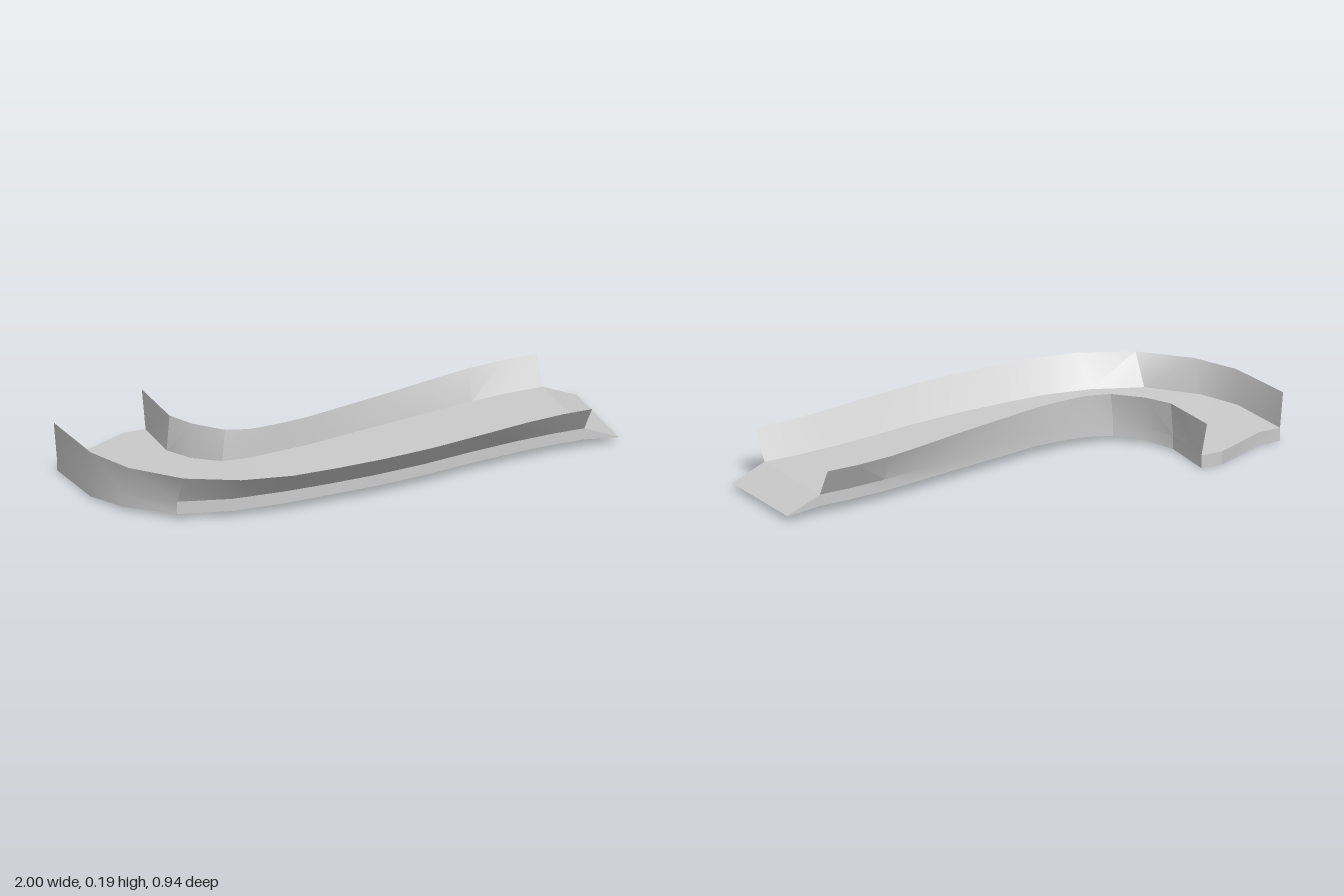
import * as THREE from 'three';
import { toCreasedNormals } from 'three/addons/utils/BufferGeometryUtils.js';

// Plan stations along the bend, each as x,z pairs:
// outer rim, outer floor edge, inner floor edge, inner rim
const STATIONS = [
  [-1, -.305, -.99, -.30, -.595, -.42, -.59, -.47],
  [-.975, 0, -.97, -.02, -.60, -.20, -.585, -.21],
  [-.90, .18, -.90, .13, -.55, -.09, -.535, -.11],
  [-.75, .345, -.75, .28, -.46, -.005, -.445, -.015],
  [-.56, .437, -.56, .342, -.36, .015, -.36, .012],
  [-.37, .468, -.37, .36, -.24, .008, -.24, .005],
  [-.19, .462, -.19, .355, -.13, -.005, -.13, -.012],
  [0, .447, 0, .342, .05, -.045, .05, -.06],
  [.20, .418, .20, .315, .22, -.08, .22, -.106],
  [.40, .375, .40, .275, .40, -.12, .40, -.16],
  [.60, .33, .60, .243, .58, -.158, .58, -.21],
  [.75, .307, .75, .228, .73, -.177, .73, -.235],
  [.865, .302, .865, .225, .865, -.185, .865, -.242],
];
const RIM_Y = 0.187;
const FLOOR_Y = [.05, .056, .062, .069, .075, .08];
const BASE_Y = [0, .005, .012, .02, .027, .033, .036];
const levelAt = (levels, i) => levels[Math.min(i, levels.length - 1)];

// Surface through a grid of points, rows by columns
function skin(name, rows, material) {
  const cols = rows[0].length;
  const index = [];
  for (let r = 0; r < rows.length - 1; r++) {
    for (let c = 0; c < cols - 1; c++) {
      const a = r * cols + c, b = a + 1, d = a + cols, e = d + 1;
      index.push(a, d, b, b, d, e);
    }
  }
  const geometry = new THREE.BufferGeometry();
  geometry.setAttribute('position', new THREE.Float32BufferAttribute(rows.flat(2), 3));
  geometry.setIndex(index);
  const mesh = new THREE.Mesh(toCreasedNormals(geometry, Math.PI / 7), material);
  mesh.name = name;
  return mesh;
}

export function createModel() {
  const material = new THREE.MeshStandardMaterial({ color: 0xcccccc, side: THREE.DoubleSide });
  const group = new THREE.Group();
  group.name = 'curvedChannel';

  // Point of a station by pair number, at a given height
  const at = (s, pair, y) => [s[pair * 2], y, s[pair * 2 + 1]];

  // Points across the floor; the open end has a stepped edge
  const across = (s, i, y) => {
    const o = at(s, 1, y), n = at(s, 2, y);
    const mix = (t) => [o[0] + (n[0] - o[0]) * t, y, o[2] + (n[2] - o[2]) * t];
    const middle = i === 0 ? [[-.9, y, -.305], [-.68, y, -.42]] : [mix(.25), mix(.8)];
    return [o, ...middle, n];
  };
  const floorRows = STATIONS.map((s, i) => across(s, i, levelAt(FLOOR_Y, i)));
  const baseRows = STATIONS.map((s, i) => across(s, i, levelAt(BASE_Y, i)));

  group.add(skin('floor', floorRows, material));
  group.add(skin('underside', baseRows.map((row) => [...row].reverse()), material));
  group.add(skin('openEnd', [baseRows[0], floorRows[0]], material));

  // Flared walls with a short upright skirt below the floor line
  const wallRows = (rim, edge) => STATIONS.map((s, i) => [
    at(s, rim, RIM_Y), at(s, edge, levelAt(FLOOR_Y, i)), at(s, edge, levelAt(BASE_Y, i)),
  ]);
  group.add(skin('outerWall', wallRows(0, 1).map((row) => row.reverse()), material));
  group.add(skin('innerWall', wallRows(3, 2), material));

  // Wedge tongue sloping down from the far end
  const loop = (x, top, bottom, front, back) => [
    [x, top, front], [x, top, back], [x, bottom, back], [x, bottom, front], [x, top, front],
  ];
  group.add(skin('endTongue', [
    loop(.865, .08, .036, .225, -.185),
    loop(1, .024, .02, .22, -.19),
  ], material));
  return group;
}
